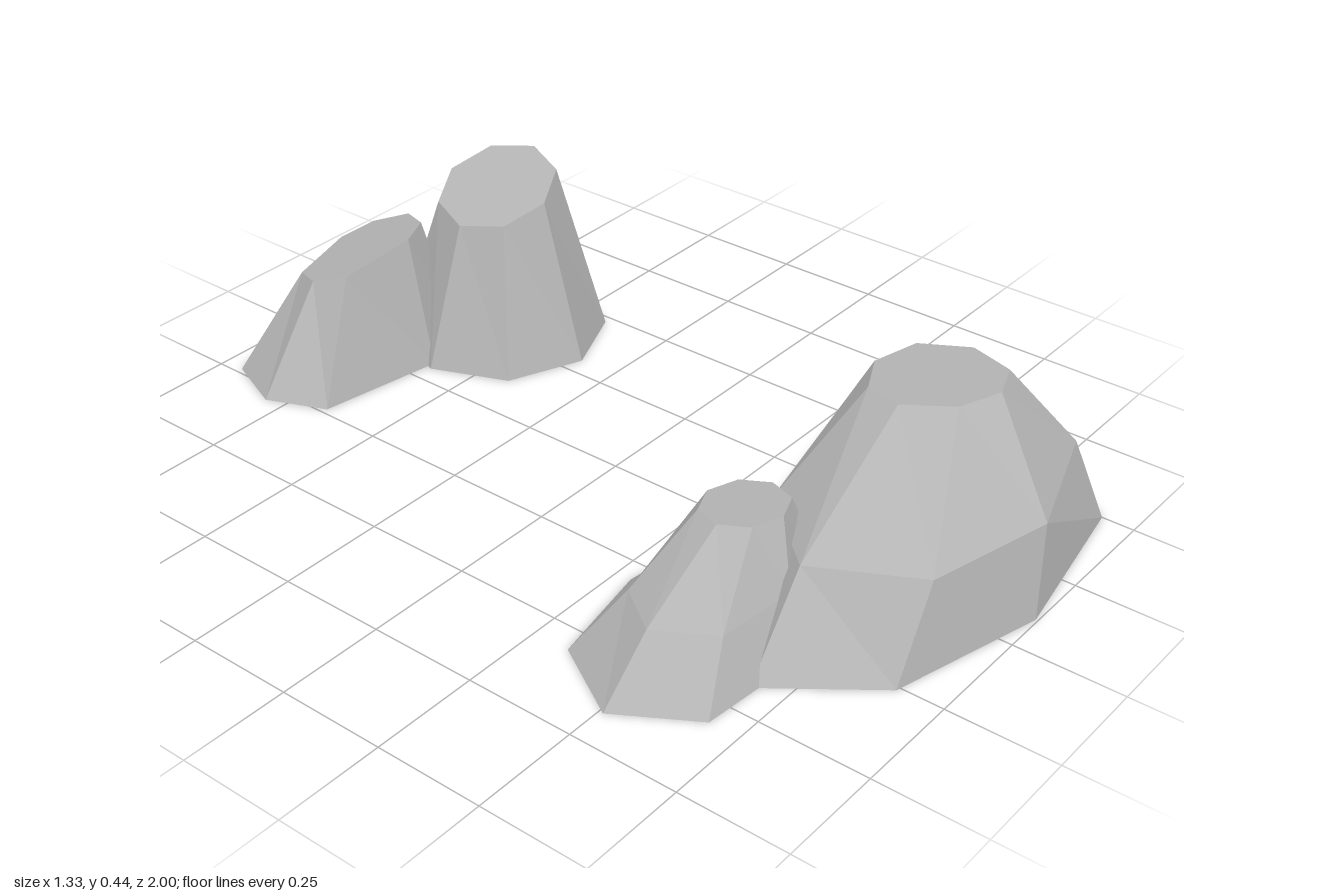
import * as THREE from 'three';

// Faceted rock shell, open underneath. Each ring lists eight [x, z] corners,
// running from +x round through +z; height(x, z) gives the ring's y.
function rockGeometry(rings) {
  const loops = rings.map(({ pts, height }) => pts.map(([x, z]) => [x, height(x, z), z]));
  const pos = [];
  const tri = (a, b, c) => pos.push(...a, ...b, ...c);
  for (let r = 0; r < loops.length - 1; r++) {
    const lo = loops[r], up = loops[r + 1], n = lo.length;
    for (let i = 0; i < n; i++) {
      const j = (i + 1) % n;
      tri(lo[i], up[j], lo[j]);
      tri(lo[i], up[i], up[j]);
    }
  }
  // cap
  const top = loops[loops.length - 1];
  for (let i = 1; i < top.length - 1; i++) tri(top[0], top[i + 1], top[i]);
  const g = new THREE.BufferGeometry();
  g.setAttribute('position', new THREE.Float32BufferAttribute(pos, 3));
  g.computeVertexNormals();
  return g;
}

// Regular eight-sided ring
const octagon = (cx, cz, rx, rz) => Array.from({ length: 8 }, (_, i) => {
  const a = (i * Math.PI) / 4;
  return [cx + rx * Math.cos(a), cz + rz * Math.sin(a)];
});
const level = (y) => () => y;

export function createModel() {
  const group = new THREE.Group();
  const stone = new THREE.MeshStandardMaterial({ color: 0xb4b4b4, flatShading: true, side: THREE.DoubleSide });
  stone.name = 'grey stone';

  const add = (name, rings) => {
    const mesh = new THREE.Mesh(rockGeometry(rings), stone);
    mesh.name = name;
    group.add(mesh);
  };

  // Tall rock, cap sloping up towards +x
  add('tallBackRock', [
    { pts: octagon(0.3, -0.6, 0.253, 0.253), height: level(0) },
    { pts: octagon(0.298, -0.6, 0.133, 0.145), height: (x) => 0.385 + 0.4 * (x - 0.3) },
  ]);

  // Low rock beside it
  add('lowBackRock', [
    { pts: [[0.27, -0.8], [0.22, -0.66], [0.07, -0.61], [-0.235, -0.66],
      [-0.295, -0.8], [-0.235, -0.945], [0.08, -1], [0.22, -0.945]], height: level(0) },
    { pts: [[0.2, -0.8], [0.16, -0.72], [0.08, -0.685], [-0.095, -0.715],
      [-0.12, -0.8], [-0.085, -0.875], [0.08, -0.91], [0.16, -0.88]],
    height: (x, z) => 0.255 + 0.15 * x + 0.3 * (z + 0.8) },
  ]);

  // Large boulder
  add('largeFrontRock', [
    { pts: [[0.66, 0.66], [0.5, 0.925], [0.1, 0.995], [-0.26, 0.9],
      [-0.43, 0.68], [-0.26, 0.46], [0.1, 0.41], [0.5, 0.485]], height: level(0) },
    { pts: [[0.575, 0.66], [0.445, 0.87], [0.15, 0.97], [-0.145, 0.895],
      [-0.265, 0.67], [-0.11, 0.495], [0.15, 0.465], [0.445, 0.52]],
    height: (x) => 0.193 + 0.012 * x },
    { pts: [[0.355, 0.66], [0.31, 0.77], [0.22, 0.805], [0.125, 0.765],
      [0.07, 0.66], [0.1, 0.57], [0.2, 0.52], [0.31, 0.55]],
    height: (x, z) => 0.375 + 0.09 * (z - 0.53) },
  ]);

  // Small boulder leaning into it
  add('smallFrontRock', [
    { pts: [[0.03, 0.51], [-0.05, 0.63], [-0.29, 0.705], [-0.56, 0.68],
      [-0.665, 0.51], [-0.56, 0.335], [-0.305, 0.287], [-0.05, 0.395]], height: level(0) },
    { pts: [[-0.05, 0.51], [-0.11, 0.6], [-0.27, 0.655], [-0.46, 0.635],
      [-0.535, 0.51], [-0.46, 0.405], [-0.26, 0.405], [-0.11, 0.425]], height: level(0.12) },
    { pts: octagon(-0.23, 0.512, 0.093, 0.092), height: (x, z) => 0.247 + 0.1 * (z - 0.51) },
  ]);

  return group;
}
